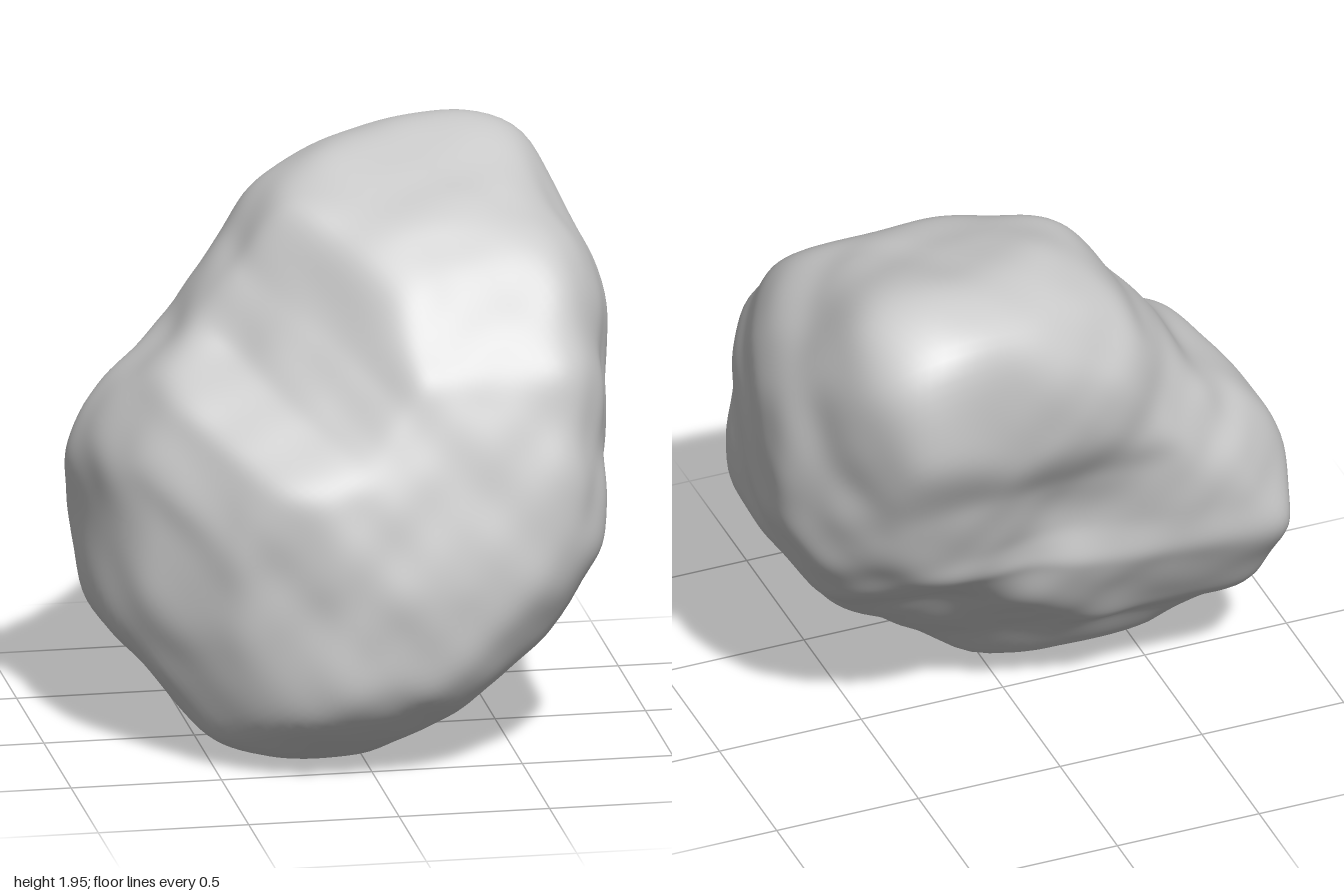
import * as THREE from 'three';
import { mergeVertices } from 'three/addons/utils/BufferGeometryUtils.js';

// Outlines of the boulder about its middle, as across/up pairs
const frontOutline = [.45, 1, .58, .98, .69, .9, .8, .68, .88, .45, .9, .25, .87, .02, .78, -.25, .55, -.59, .4, -.68,
  .24, -.84, .05, -.96, -.27, -.99, -.42, -.96, -.55, -.88, -.68, -.71, -.86, -.52, -.885, -.37, -.87, -.2, -.9, -.06,
  -.83, .12, -.5, .55, -.33, .68, -.22, .83, -.05, .91];
const sideOutline = [.44, 1, .55, .98, .65, .92, .73, .83, .78, .66, .76, .47, .62, .22, .52, -.1, .5, -.23, .28, -.57,
  .15, -.66, -.01, -.87, -.2, -.99, -.4, -.98, -.67, -.75, -.75, -.61, -.78, -.31, -.68, .08, -.59, .38, -.5, .5,
  -.33, .7, -.2, .81, 0, .86];
const topOutline = [.52, .78, .65, .73, .75, .59, .8, .38, .89, .24, .89, .08, .8, -.3, .78, -.5, .68, -.65, .55, -.72,
  .17, -.775, -.15, -.72, -.45, -.59, -.73, -.32, -.82, -.05, -.9, .28, -.87, .46, -.72, .51, -.58, .53, -.43, .64,
  -.2, .69, .05, .71, .25, .7];
const frontRightOutline = [.05, .95, .47, 1, .77, .95, .91, .79, .95, .61, .945, .48, .875, .27, .875, .08, .82, -.15,
  .66, -.41, .34, -.74, .145, -.83, -.06, -.98, -.33, -1, -.51, -.92, -.63, -.8, -.72, -.48, -.78, -.3, -.74, .13,
  -.58, .4, -.17, .79];
const backLeftOutline = [-.29, .91, .01, .83, .16, .72, .27, .5, .43, .3, .635, .17, .73, -.08, .78, -.44, .73, -.67,
  .54, -.88, .365, -.9, .1, -.82, -.04, -.63, -.34, -.42, -.67, -.19, -.77, -.05, -.865, .18, -.95, .46, -.95, .61,
  -.83, .85, -.67, .905];
const underOutline = [-.2, 1.21, .04, 1.21, .18, 1.13, .33, .96, .55, .74, .77, .36, .78, .18, .95, -.3, .73, -.69,
  .3, -1.02, .02, -1.09, -.36, -.94, -.56, -.81, -.75, -.54, -.94, -.2, -.87, .35, -.69, .73, -.44, .96, -.33, 1.12];

// An outline with its across and up axes, from the turn and tilt it is seen at
function facing(outline, turnDeg, tiltDeg, slack) {
  const a = THREE.MathUtils.degToRad(turnDeg), e = THREE.MathUtils.degToRad(tiltDeg);
  return {
    outline, slack,
    across: new THREE.Vector3(Math.cos(a), 0, -Math.sin(a)),
    up: new THREE.Vector3(-Math.sin(e) * Math.sin(a), Math.cos(e), -Math.sin(e) * Math.cos(a)),
  };
}

const facings = [
  facing(frontOutline, 0, 0, 1.01), facing(sideOutline, 90, 0, 1.01), facing(topOutline, 0, 90, 1.01),
  facing(frontRightOutline, 36, 25, 1.02), facing(backLeftOutline, 216, 25, 1.02), facing(underOutline, 144, -25, 1.02),
];

// Distance from the middle to one outline along a direction
function reach({ outline, across, up, slack }, dir) {
  const u = dir.dot(across), v = dir.dot(up), n = outline.length;
  for (let i = 0; i < n; i += 2) {
    const px = outline[i], py = outline[i + 1];
    const qx = outline[(i + 2) % n], qy = outline[(i + 3) % n];
    const den = u * (qy - py) - v * (qx - px);
    if (Math.abs(den) < 1e-9) continue;
    const t = (px * (qy - py) - py * (qx - px)) / den;
    const s = (px * v - py * u) / den;
    if (t > 0 && s >= -1e-6 && s <= 1 + 1e-6) return t * slack;
  }
  return 50;
}

// Hollows: direction from the middle, angular width, depth.
// The first four form the diagonal valley across the back and underside.
const hollows = [
  [-.42, .4, -.52, .32, .1],
  [-.04, .03, -.42, .5, .18],
  [.14, -.2, -.38, .38, .1],
  [.27, -.4, -.16, .28, .1],
  [-.55, .36, -.25, .32, .07],
  [-.42, .42, .1, .3, .08],
].map(([x, y, z, width, depth]) => ({ dir: new THREE.Vector3(x, y, z).normalize(), width, depth }));

// Move each vertex toward (or away from) the average of its neighbours
function relax(geometry, amount) {
  const pos = geometry.attributes.position, index = geometry.index.array;
  const sum = new Float32Array(pos.count * 3), num = new Float32Array(pos.count);
  for (let i = 0; i < index.length; i += 3) {
    for (let j = 0; j < 3; j++) {
      const a = index[i + j], b = index[i + (j + 1) % 3];
      sum[a * 3] += pos.getX(b);
      sum[a * 3 + 1] += pos.getY(b);
      sum[a * 3 + 2] += pos.getZ(b);
      num[a]++;
    }
  }
  for (let i = 0; i < pos.count * 3; i++) {
    pos.array[i] += amount * (sum[i] / num[Math.floor(i / 3)] - pos.array[i]);
  }
}

// Small weathered lumps
function lumps(p) {
  return .008 * Math.sin(11 * p.x + 5 * p.y) * Math.sin(10 * p.y - 6 * p.z)
    + .006 * Math.sin(17 * p.z + 9 * p.x) * Math.sin(15 * p.y - 4 * p.x)
    + .004 * Math.sin(27 * p.x - 8 * p.z) * Math.sin(25 * p.y + 12 * p.z);
}

export function createModel() {
  let geometry = new THREE.IcosahedronGeometry(1, 36);
  geometry.deleteAttribute('uv');
  geometry.deleteAttribute('normal');
  geometry = mergeVertices(geometry, 1e-4);

  // Push a sphere out to the soft minimum of all outlines, then press in the hollows
  const pos = geometry.attributes.position, p = new THREE.Vector3(), power = 36;
  for (let i = 0; i < pos.count; i++) {
    p.fromBufferAttribute(pos, i).normalize();
    let sum = 0;
    for (const f of facings) sum += Math.pow(reach(f, p), -power);
    let scale = 1;
    for (const { dir, width, depth } of hollows) {
      scale -= depth * Math.exp(-p.distanceToSquared(dir) / (width * width));
    }
    p.multiplyScalar(scale * Math.pow(sum, -1 / power));
    p.multiplyScalar(1 + lumps(p));
    pos.setXYZ(i, p.x, p.y, p.z);
  }

  // Round the ridges without losing volume
  for (let k = 0; k < 10; k++) {
    relax(geometry, .7);
    relax(geometry, -.5);
  }

  // Stand it on the ground
  geometry.computeBoundingBox();
  geometry.translate(0, -geometry.boundingBox.min.y, 0);
  geometry.computeVertexNormals();

  const boulder = new THREE.Mesh(geometry, new THREE.MeshStandardMaterial({ color: 0xcccccc }));
  boulder.name = 'boulder';
  const group = new THREE.Group();
  group.name = 'rock';
  group.add(boulder);
  return group;
}
